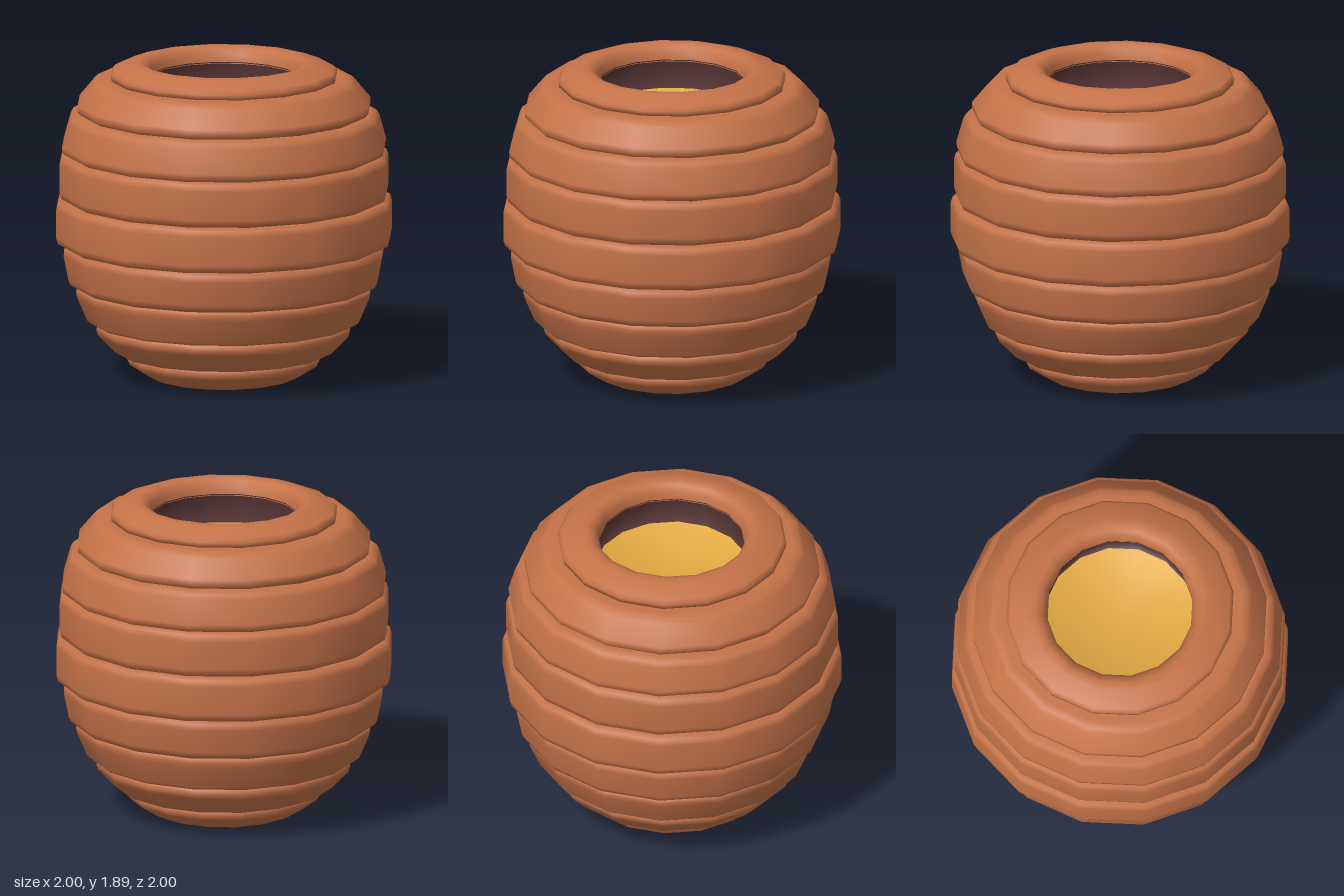
import * as THREE from 'three';

const SIDES = 16;

export function createModel() {
  const clay = new THREE.MeshStandardMaterial({ color: 0xc47248 });
  clay.name = 'terracotta';
  const honeyMat = new THREE.MeshStandardMaterial({ color: 0xe2aa42 });
  honeyMat.name = 'honey gold';
  const dark = new THREE.MeshStandardMaterial({ color: 0x502f31 });
  dark.name = 'dark plum';

  const pot = new THREE.Group();
  pot.name = 'honeyPot';

  // Turn a profile of [radius, height] pairs around the y axis
  const turn = (name, profile, material) => {
    const points = profile.map(([r, y]) => new THREE.Vector2(r, y));
    const mesh = new THREE.Mesh(new THREE.LatheGeometry(points, SIDES), material);
    mesh.name = name;
    pot.add(mesh);
    return mesh;
  };

  // Coils stacked up the body; each profile runs from its lower to its upper edge
  const coils = [
    [[0.62, 0.15], [0.65, 0.165], [0.75, 0.27], [0.76, 0.30], [0.757, 0.325], [0.735, 0.34]],
    [[0.79, 0.34], [0.815, 0.36], [0.875, 0.50], [0.882, 0.53], [0.877, 0.55], [0.85, 0.56]],
    [[0.89, 0.56], [0.914, 0.575], [0.927, 0.605], [0.955, 0.75], [0.953, 0.785], [0.925, 0.81]],
    [[0.965, 0.81], [0.99, 0.825], [1.0, 0.86], [1.0, 1.03], [0.988, 1.065], [0.955, 1.08]],
    [[0.945, 1.08], [0.97, 1.095], [0.98, 1.13], [0.98, 1.30], [0.968, 1.335], [0.935, 1.35]],
    [[0.935, 1.35], [0.96, 1.365], [0.966, 1.40], [0.927, 1.54], [0.912, 1.57], [0.875, 1.59]],
    [[0.85, 1.59], [0.872, 1.612], [0.872, 1.65], [0.785, 1.755], [0.763, 1.778], [0.72, 1.79]],
  ];
  coils.forEach((p, i) => {
    const first = p[0], last = p[p.length - 1];
    turn('coil' + (i + 1), [[first[0] - 0.16, first[1]], ...p, [last[0] - 0.16, last[1]]], clay);
  });

  // Foot with a shallow hollow underneath
  turn('foot', [
    [0, 0.09], [0.34, 0.085], [0.355, 0.035], [0.375, 0.01], [0.41, 0],
    [0.45, 0.015], [0.56, 0.085], [0.575, 0.115], [0.57, 0.14], [0.54, 0.15], [0.4, 0.15],
  ], clay);

  // Rounded rim around the opening
  turn('rim', [
    [0.5, 1.79], [0.67, 1.79], [0.675, 1.82], [0.655, 1.843], [0.55, 1.883],
    [0.50, 1.89], [0.463, 1.875], [0.438, 1.84], [0.43, 1.79],
  ], clay);

  // Inner wall and level honey, smoothed together where they meet
  const inside = turn('innerWallAndHoney', [[0.43, 1.80], [0.45, 1.62], [0, 1.62]], [dark, honeyMat]);
  // Each side holds two wall triangles followed by two honey triangles
  for (let i = 0; i < SIDES; i++) {
    inside.geometry.addGroup(i * 12, 6, 0);
    inside.geometry.addGroup(i * 12 + 6, 6, 1);
  }

  return pot;
}
